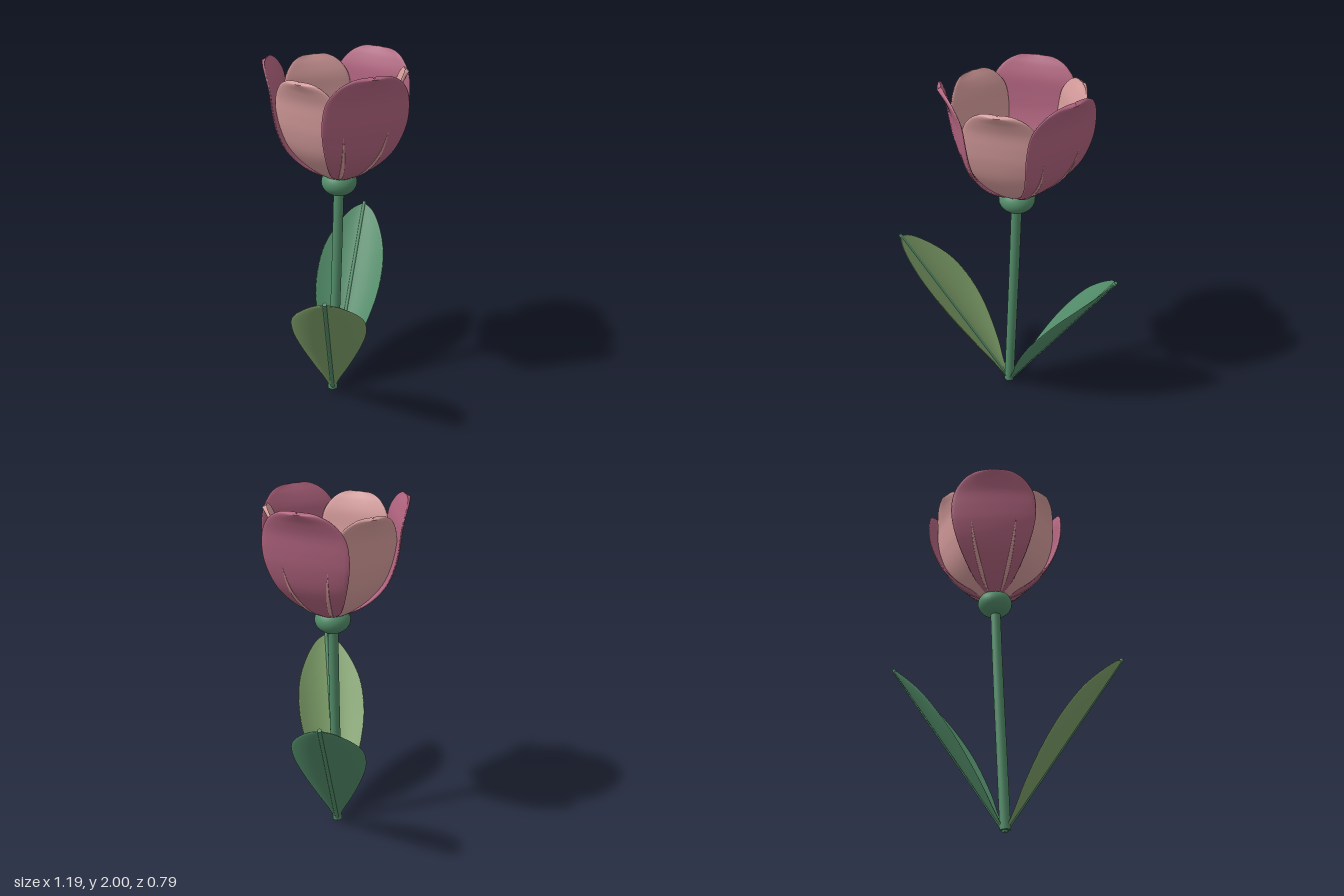
import * as THREE from 'three';

const mat = (name, color) => {
  const m = new THREE.MeshStandardMaterial({ color });
  m.name = name;
  return m;
};
const V = (x, y, z) => new THREE.Vector3(x, y, z);

// Closed thin blade: lens-like rings swept along section(u) = { P, N, T, w, cup }
function blade(section, rows, half, sides = 28) {
  const pos = [], idx = [];
  for (let i = 0; i <= rows; i++) {
    const { P, N, T, w, cup = 0 } = section(i / rows);
    const S = N.clone().cross(T);
    const th = half * Math.min(1, w / (half * 2.5));
    for (let j = 0; j < sides; j++) {
      const a = (j / sides) * Math.PI * 2, v = Math.cos(a), s = Math.sin(a);
      const n = cup * v * v + th * Math.sign(s) * Math.sqrt(Math.abs(s));
      const p = P.clone().addScaledVector(S, w * v).addScaledVector(N, n);
      pos.push(p.x, p.y, p.z);
      if (i < rows) {
        const k = (j + 1) % sides, r = i * sides, q = r + sides;
        idx.push(r + j, r + k, q + j, r + k, q + k, q + j);
      }
    }
  }
  const g = new THREE.BufferGeometry();
  g.setAttribute('position', new THREE.Float32BufferAttribute(pos, 3));
  g.setIndex(idx);
  g.computeVertexNormals();
  return g;
}

// Petal profile: radius, height above the base, half width
const PETAL = [
  [0.03, 0, 0.035], [0.12, 0.05, 0.1], [0.2, 0.12, 0.152], [0.27, 0.22, 0.2],
  [0.31, 0.34, 0.233], [0.325, 0.43, 0.24], [0.337, 0.52, 0.225], [0.36, 0.585, 0.178],
  [0.378, 0.618, 0.125], [0.387, 0.632, 0.075], [0.39, 0.638, 0.004],
];
const PETAL_HALF = 0.01, PETAL_CUP = 0.012;

function petalSection(scaleR, scaleY, scaleW) {
  const curve = new THREE.CatmullRomCurve3(PETAL.map(([r, y, w]) => V(r * scaleR, y * scaleY, w * scaleW)));
  return (u) => {
    const c = curve.getPoint(u), t = curve.getTangent(u);
    const T = V(t.x, t.y, 0).normalize();
    return { P: V(c.x, 1.36 + c.y, 0), N: V(-T.y, T.x, 0), T, w: Math.max(c.z, 0.003), cup: PETAL_CUP };
  };
}

// Slim tapered streak lying on the outside of a petal
function streak(section, side) {
  const v = 0.53 * side;
  return blade((s) => {
    const { P, N, T, w } = section(0.04 + s * 0.36);
    const S = N.clone().cross(T);
    P.addScaledVector(S, w * v).addScaledVector(N, PETAL_CUP * v * v - PETAL_HALF * 0.92);
    return { P, N, T, w: 0.0008 + 0.011 * Math.sin(Math.PI * Math.pow(s, 0.8)) };
  }, 24, 0.004, 12);
}

// Leaf outline: position along the midrib, half width, lift of the edges
const LEAF = [
  [0, 0.01, 0], [0.1, 0.045, 0.02], [0.2, 0.095, 0.045], [0.4, 0.17, 0.075], [0.55, 0.2, 0.08],
  [0.7, 0.195, 0.07], [0.8, 0.165, 0.05], [0.9, 0.11, 0.025], [0.96, 0.058, 0.01], [0.99, 0.006, 0],
];

function leaf(base, tip, bladeMat, veinMat) {
  const g = new THREE.Group();
  const along = tip.clone().sub(base), T = along.clone().normalize();
  const N = V(0, 1, 0).addScaledVector(T, -T.y).normalize();
  const curve = new THREE.CatmullRomCurve3(LEAF.map((p) => V(...p)));
  const surface = new THREE.Mesh(blade((u) => {
    const c = curve.getPoint(u);
    return { P: base.clone().addScaledVector(along, c.x), N, T, w: c.y, cup: c.z };
  }, 36, 0.005), bladeMat);
  surface.name = 'leafBlade';
  const vein = new THREE.Mesh(new THREE.CylinderGeometry(0.011, 0.012, along.length(), 10), veinMat);
  vein.position.copy(base).addScaledVector(along, 0.5);
  vein.quaternion.setFromUnitVectors(V(0, 1, 0), T);
  vein.name = 'leafMidrib';
  g.add(surface, vein);
  return g;
}

export function createModel() {
  const model = new THREE.Group();
  model.name = 'tulip';
  const rose = mat('rose', 0xb0637e);
  const blush = mat('blush', 0xd69c9c);
  const stemGreen = mat('stemGreen', 0x528c69);
  const leafGreen = mat('leafGreen', 0x7fa06a);

  // Stem
  const path = new THREE.CatmullRomCurve3([V(-0.037, 0.02, 0), V(-0.015, 0.45, 0), V(0.008, 0.9, 0), V(0.026, 1.32, 0)]);
  const stem = new THREE.Mesh(new THREE.TubeGeometry(path, 24, 0.029, 16), stemGreen);
  stem.name = 'stem';
  const foot = new THREE.Mesh(new THREE.CircleGeometry(0.029, 16), stemGreen);
  foot.rotation.x = Math.PI / 2;
  foot.position.set(-0.037, 0.02, 0);
  foot.name = 'stemFoot';
  model.add(stem, foot);

  // Leaves
  const base = V(-0.035, 0.012, 0);
  const leftLeaf = leaf(base, V(0.585, 0.975, -0.195), stemGreen, stemGreen);
  leftLeaf.name = 'leftLeaf';
  const rightLeaf = leaf(base, V(-0.59, 0.975, 0.345), leafGreen, stemGreen);
  rightLeaf.name = 'rightLeaf';
  model.add(leftLeaf, rightLeaf);

  // Flower head
  const flower = new THREE.Group();
  flower.name = 'flower';
  flower.position.x = 0.028;
  const cup = new THREE.Mesh(new THREE.SphereGeometry(0.098, 32, 20), stemGreen);
  cup.scale.y = 0.78;
  cup.position.y = 1.336;
  cup.name = 'receptacle';
  flower.add(cup);

  const outer = petalSection(1, 1, 1), inner = petalSection(0.89, 0.935, 0.84);
  const outerGeo = blade(outer, 50, PETAL_HALF), innerGeo = blade(inner, 50, PETAL_HALF);
  const streakGeos = [-1, 1].map((side) => streak(outer, side));
  for (let k = 0; k < 3; k++) {
    const outerPetal = new THREE.Group();
    outerPetal.name = 'outerPetal';
    outerPetal.rotation.y = (k * Math.PI * 2) / 3;
    outerPetal.add(new THREE.Mesh(outerGeo, rose));
    for (const geo of streakGeos) {
      const line = new THREE.Mesh(geo, blush);
      line.name = 'petalStreak';
      outerPetal.add(line);
    }
    const innerPetal = new THREE.Mesh(innerGeo, blush);
    innerPetal.name = 'innerPetal';
    innerPetal.rotation.y = ((k * 2 + 1) * Math.PI) / 3;
    flower.add(outerPetal, innerPetal);
  }
  model.add(flower);
  return model;
}
